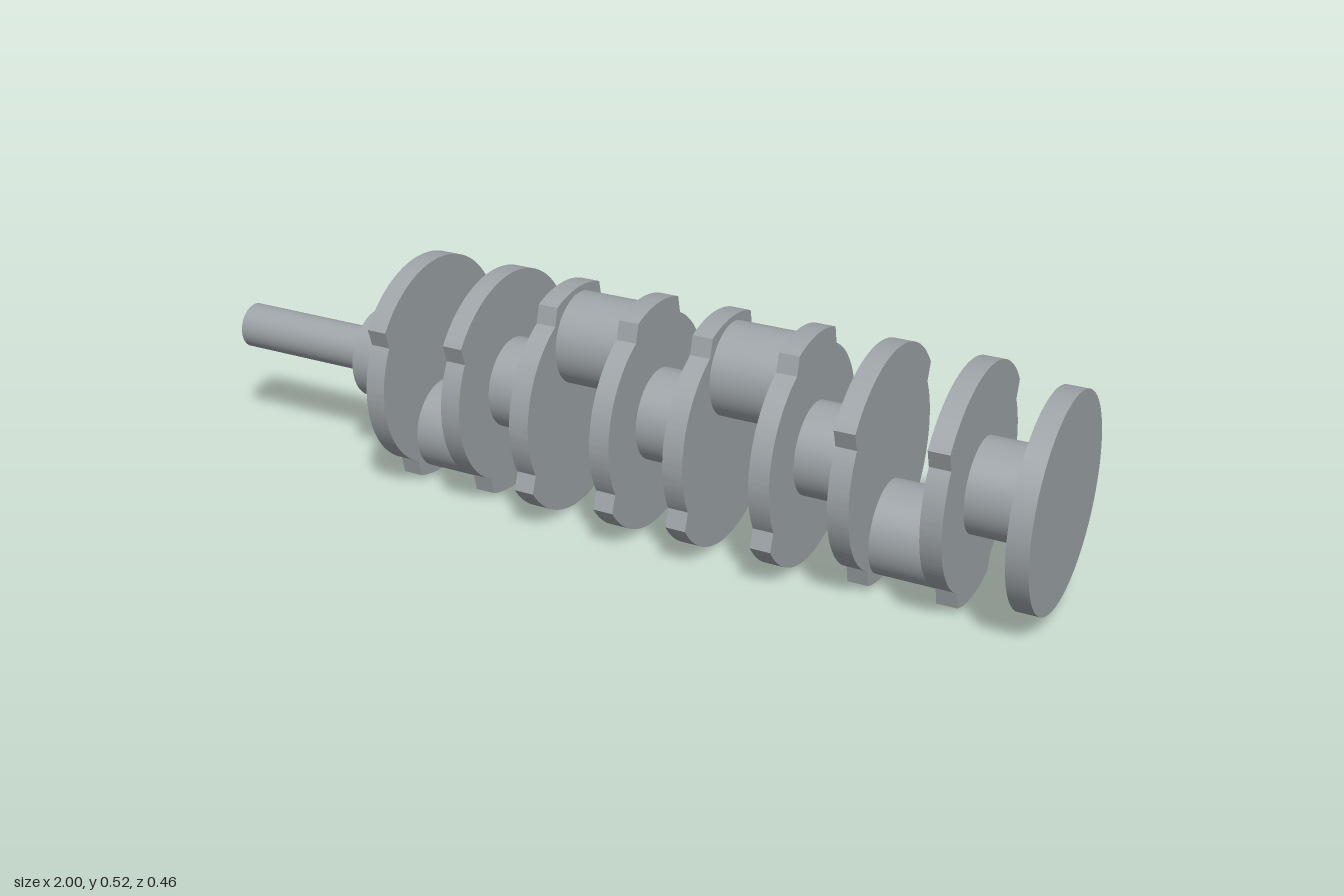
import * as THREE from 'three';
import { toCreasedNormals } from 'three/addons/utils/BufferGeometryUtils.js';

const AXIS_Y = 0.259;      // height of the rotation axis
const THROW = 0.142;       // crank pin offset
const WEB = 0.046;         // web thickness
const JOURNAL_R = 0.103;

// Web outline with the crank pin upwards: narrow pin lobe on top, wide counterweight below
function webShape() {
  const rad = THREE.MathUtils.degToRad;
  const R = 0.258, r = 0.225, up = 90, down = 270;
  const s = new THREE.Shape();
  s.absarc(0, 0, R, rad(up - 20.9), rad(up + 20.9), false);
  s.absarc(0, 0, r, rad(up + 27), rad(down - 60), false);
  s.absarc(0, 0, R, rad(down - 53.8), rad(down + 53.8), false);
  s.absarc(0, 0, r, rad(down + 60), rad(360 + up - 27), false);
  s.closePath();
  return s;
}

export function createModel() {
  const group = new THREE.Group();
  group.name = 'crankshaft';
  const steel = new THREE.MeshStandardMaterial({ color: 0x9da3a7 });
  steel.name = 'steel grey';

  // Cylinder along x between two positions
  function rod(name, x0, x1, radius, y = AXIS_Y) {
    const geo = new THREE.CylinderGeometry(radius, radius, x1 - x0, 96).rotateZ(Math.PI / 2);
    const mesh = new THREE.Mesh(geo, steel);
    mesh.name = name;
    mesh.position.set((x0 + x1) / 2, y, 0);
    group.add(mesh);
  }

  // Web plate, thickness along x
  const raw = new THREE.ExtrudeGeometry(webShape(), { depth: WEB, bevelEnabled: false, curveSegments: 40 });
  raw.translate(0, 0, -WEB / 2).rotateY(Math.PI / 2);
  const webGeo = toCreasedNormals(raw, 0.35);
  function web(x, dir) {
    const mesh = new THREE.Mesh(webGeo, steel);
    mesh.name = 'web';
    mesh.position.set(x, AXIS_Y, 0);
    if (dir < 0) mesh.rotation.x = Math.PI;
    group.add(mesh);
  }

  // Nose shaft and first main journal
  rod('noseShaft', -1, -0.645, 0.052);
  rod('mainJournal', -0.645, -0.498, JOURNAL_R);

  // Four throws: pin down, up, up, down, each followed by a main journal
  [-1, 1, 1, -1].forEach((dir, i) => {
    const a = -0.498 + i * 0.3675;
    const b = a + 0.195;
    web(a, dir);
    web(b, dir);
    rod('crankPin', a, b, JOURNAL_R, AXIS_Y + dir * THROW);
    rod('mainJournal', b, i < 3 ? a + 0.3675 : 0.97, JOURNAL_R);
  });

  // Rear flange
  rod('flange', 0.953, 1, 0.232);
  return group;
}
